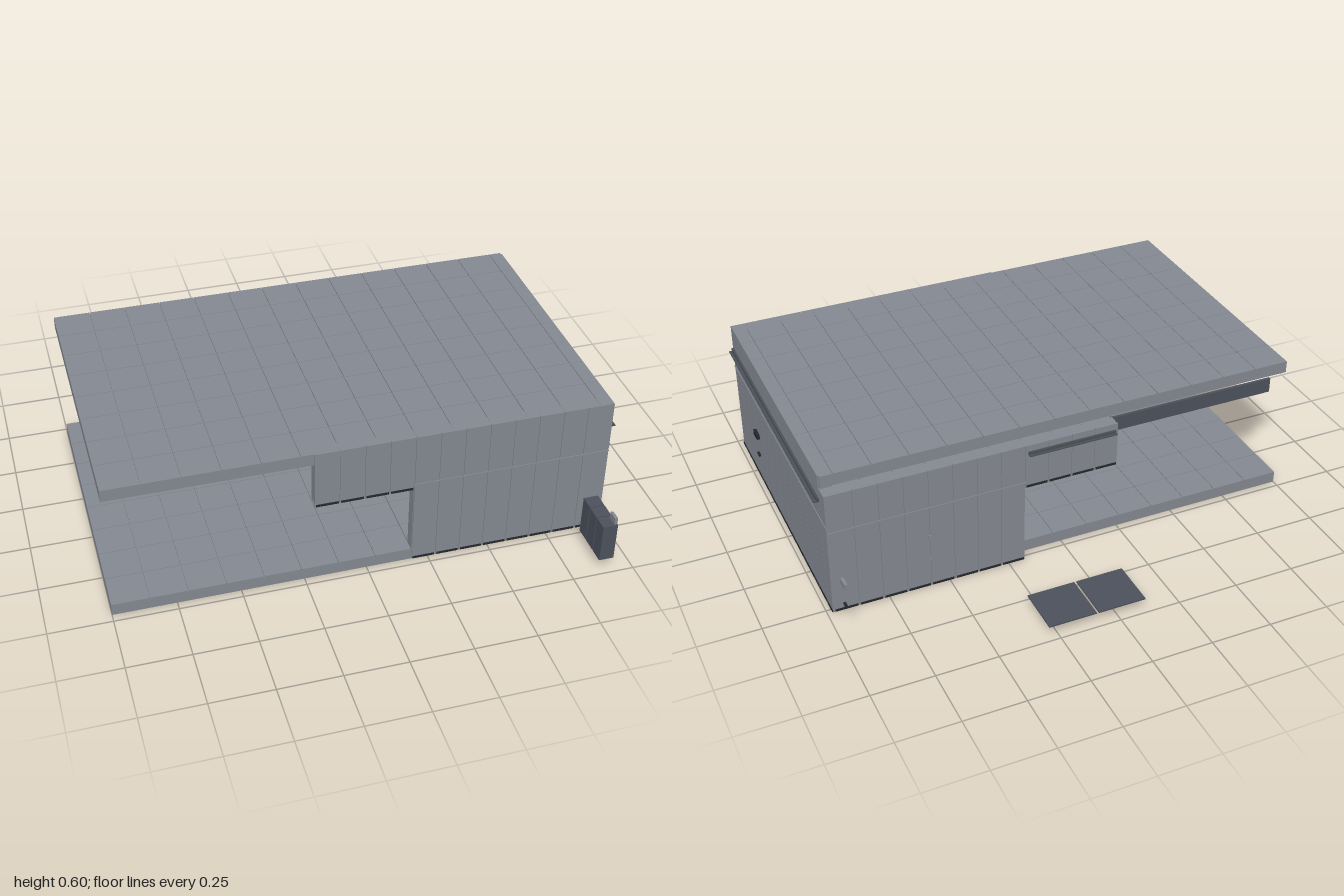
import * as THREE from 'three';

const mat = (name, color) => {
  const m = new THREE.MeshStandardMaterial({ color });
  m.name = name;
  return m;
};

export function createModel() {
  const root = new THREE.Group();
  root.name = 'hangarBuilding';
  const panel = mat('panelGrey', 0x848991);
  const dark = mat('slateGrey', 0x4d515c);
  const black = mat('trimBlack', 0x24282c);
  const trim = mat('railGrey', 0x4a5055);

  // Box given by its minimum and maximum on each axis
  const box = (name, m, x0, x1, y0, y1, z0, z1, parent = root) => {
    const mesh = new THREE.Mesh(new THREE.BoxGeometry(x1 - x0, y1 - y0, z1 - z0), m);
    mesh.position.set((x0 + x1) / 2, (y0 + y1) / 2, (z0 + z1) / 2);
    mesh.name = name;
    parent.add(mesh);
    return mesh;
  };
  const group = (name) => {
    const g = new THREE.Group();
    g.name = name;
    root.add(g);
    return g;
  };
  // Start and end of each panel along a line, with a narrow gap between panels
  const bays = (from, to, step, gap) => {
    const list = [];
    for (let a = from; a < to - 0.01; a += step) {
      const end = a + step > to - 0.01 ? to : a + step - gap;
      list.push([a, end]);
    }
    return list;
  };

  const L = -1, R = 0.979, F = 0.715, B = -0.47, BACK = -0.523, FRONT = 0.72;
  const T = 0.05;         // wall thickness
  const SKIN = 0.006;     // thickness of tiles and wall panels
  const DOOR = 0.18;      // edge of the full height walls
  const UPPER = -0.21;    // edge of the upper wall panels
  const TILE = 0.148, BAY = 0.0985;

  // Floor and roof slabs covered in square tiles
  const slab = (name, y0, y1) => {
    const g = group(name);
    box(name + 'Slab', panel, L, R - SKIN, y0, y1 - SKIN, B, F, g);
    for (const [x0, x1] of bays(L, R - SKIN, TILE, 0.0025))
      for (const [z0, z1] of bays(B, F, TILE, 0.0025))
        box(name + 'Tile', panel, x0, x1, y1 - SKIN, y1, z0, z1, g);
  };
  slab('floor', 0, 0.05);
  slab('roof', 0.547, 0.597);

  // Front and back walls: full height part and an overhanging upper part
  const longWall = (name, outer, s, top) => {
    const g = group(name);
    // Depths are measured inward from the outer face
    const layer = (n, m, x0, x1, y0, y1, d0, d1) => {
      const a = outer - s * d0, b = outer - s * d1;
      box(n, m, x0, x1, y0, y1, Math.min(a, b), Math.max(a, b), g);
    };
    layer('lowerWall', panel, DOOR + 0.002, R - SKIN, 0.003, 0.36, SKIN, T);
    layer('upperWall', panel, UPPER + 0.002, R - SKIN, 0.355, top - 0.001, SKIN, T);
    for (const [x0, x1] of bays(UPPER, R - SKIN, BAY, 0.002)) {
      const full = x0 > DOOR - 0.02;
      const low = full ? 0.003 : 0.35;
      layer('wallPanel', panel, x0, x1, low, top, 0, SKIN);
      layer('panelFoot', black, x0 + 0.004, x1 - 0.004, low + 0.002, low + 0.011, -0.003, 0.001);
    }
    layer('wallBand', panel, DOOR, R, 0.371, 0.377, -0.003, 0.001);
  };
  longWall('frontWall', FRONT, 1, 0.597);
  longWall('backWall', BACK, -1, 0.543);

  // Right side wall: panels, raised band and a sliding rail
  const side = group('sideWall');
  box('sideWallBody', panel, R - T, R - SKIN, 0.003, 0.543, BACK, FRONT, side);
  box('sideWallTop', panel, R - T, R - SKIN, 0.543, 0.596, B, FRONT, side);
  for (let z1 = FRONT; z1 > BACK + 0.03; z1 -= BAY) {
    const z0 = Math.max(z1 - BAY + 0.002, BACK);
    box('sidePanel', panel, R - SKIN, R, 0.003, 0.543, z0, z1, side);
    if (z1 > B + 0.01)
      box('sidePanelTop', panel, R - SKIN, R, 0.543, 0.597, Math.max(z0, B), z1, side);
    box('panelFoot', black, R - 0.001, R + 0.003, 0.005, 0.014, z0 + 0.002, z1 - 0.002, side);
  }
  box('sideBand', panel, R - 0.001, R + 0.003, 0.399, 0.405, BACK, FRONT, side);
  box('sideRail', trim, R - 0.001, 0.988, 0.48, 0.497, -0.46, 0.71, side);
  box('sideRailLip', trim, 0.988, 1, 0.481, 0.485, -0.46, 0.71, side);

  // Handles and locks
  box('sideHandle', black, R - 0.001, 0.992, 0.222, 0.245, 0.4, 0.45, side);
  box('sideLock', black, R - 0.001, 0.988, 0.127, 0.136, 0.413, 0.44, side);
  box('backHandle', panel, 0.572, 0.584, 0.222, 0.245, BACK - 0.004, BACK + 0.001);
  box('backLock', panel, 0.574, 0.582, 0.127, 0.136, BACK - 0.004, BACK + 0.001);
  box('looseHandle', panel, 0.957, 0.969, 0.22, 0.245, -0.672, -0.627);
  box('looseLock', black, 0.958, 0.967, 0.127, 0.136, -0.662, -0.635);
  box('boxHandle', panel, 0.908, 0.92, 0.217, 0.245, 0.928, 0.972);

  // Overhead beam beside the open bay and the rail behind the lintel
  box('doorBeam', dark, -0.93, UPPER, 0.47, 0.532, -0.468, -0.456);
  box('backRail', trim, -0.2, 0.17, 0.502, 0.516, -0.532, BACK);
  box('backRailLip', trim, -0.2, 0.17, 0.502, 0.506, -0.542, -0.532);

  // Small console inside the doorway
  const unit = group('console');
  box('consoleBody', panel, 0.2, 0.27, 0.05, 0.12, -0.38, -0.18, unit);
  for (let i = 0; i < 4; i++) {
    const z = -0.37 + i * 0.047;
    box('consoleBlock', dark, 0.21, 0.26, 0.12, 0.15, z, z + 0.036, unit);
  }

  // Three storage boxes standing in front
  for (let i = 0; i < 3; i++) {
    const z = 0.793 + i * 0.0635;
    box('storageBox', dark, 0.86, 0.92, 0.053, 0.217, z, z + 0.059);
  }

  // Two flat plates behind the building
  for (const x of [-0.11, 0.095])
    box('floorPlate', dark, x, x + 0.195, 0.049, 0.055, -0.982, -0.787);

  return root;
}
